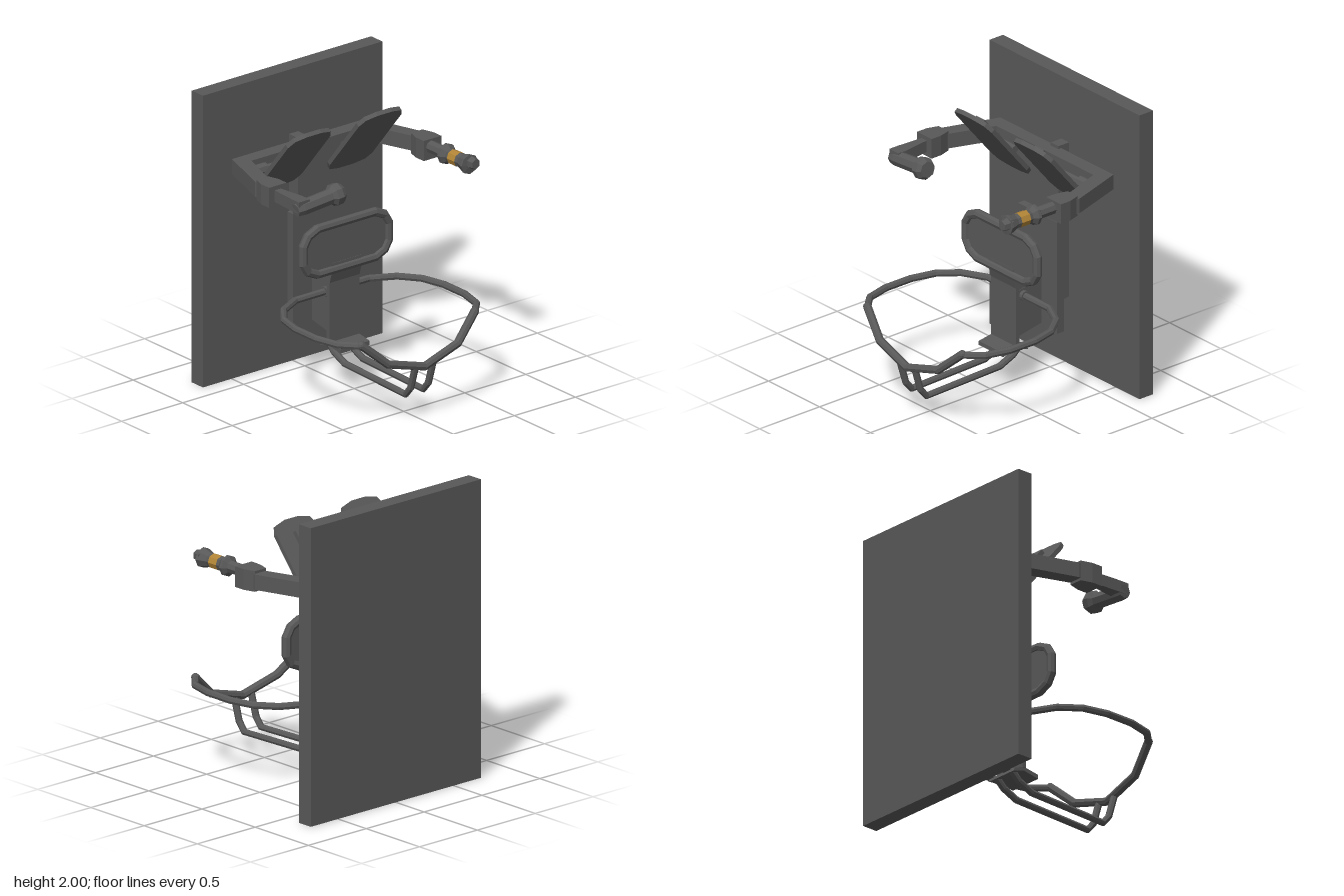
import * as THREE from 'three';

const CX = 0.007; // centre line of the mechanism

// Straight-segment path, sampled exactly at its corner points
class Polyline extends THREE.Curve {
  constructor(points, closed = false) {
    super();
    this.p = points.map(a => new THREE.Vector3(...a));
    if (closed) this.p.push(this.p[0].clone());
    this.closed = closed;
  }
  getPointAt(t) { return this.p[Math.round(t * (this.p.length - 1))].clone(); }
  getTangentAt(t) {
    const p = this.p, n = p.length - 1, i = Math.round(t * n);
    const before = i > 0 ? i - 1 : this.closed ? n - 1 : -1;
    const after = i < n ? i + 1 : this.closed ? 1 : -1;
    const d = new THREE.Vector3();
    if (before >= 0) d.add(p[i].clone().sub(p[before]).normalize());
    if (after >= 0) d.add(p[after].clone().sub(p[i]).normalize());
    return d.normalize();
  }
}

export function createModel() {
  const model = new THREE.Group();
  const grey = new THREE.MeshStandardMaterial({ color: 0x585858, flatShading: true });
  grey.name = 'dark grey';
  const amber = new THREE.MeshStandardMaterial({ color: 0xb08436, flatShading: true });
  amber.name = 'amber';

  const add = (name, geometry, x = 0, y = 0, z = 0, parent = model, material = grey) => {
    const m = new THREE.Mesh(geometry, material);
    m.name = name;
    m.position.set(x, y, z);
    parent.add(m);
    return m;
  };
  const box = (w, h, d) => new THREE.BoxGeometry(w, h, d);
  const extrude = (pts, depth) => new THREE.ExtrudeGeometry(
    new THREE.Shape(pts.map(p => new THREE.Vector2(...p))), { depth, bevelEnabled: false });
  // side profile [z, y], centred across x
  const side = (pts, width) => extrude(pts, width).rotateY(-Math.PI / 2).translate(width / 2, 0, 0);
  // plan outline [x, z], from y0 to y1
  const plan = (pts, y0, y1) => extrude(pts, y1 - y0).rotateX(Math.PI / 2).translate(0, y1, 0);
  const rod = (r, length, sides = 8) => new THREE.CylinderGeometry(r, r, length, sides).rotateZ(Math.PI / 2);
  const tube = (name, pts, r, closed = false) => {
    const path = new Polyline(pts, closed);
    add(name, new THREE.TubeGeometry(path, path.p.length - 1, r, 8, closed));
    if (!closed) for (const p of [pts[0], pts[pts.length - 1]])
      add(name + 'End', new THREE.SphereGeometry(r, 8, 6), ...p);
  };

  // Back board, post and mounting plate
  add('backBoard', box(1.47, 2, 0.113), 0, 1, -0.678);
  add('post', box(0.075, 1.06, 0.09), CX, 1.03, -0.577);
  add('rearWeb', side([[-0.62, 0.475], [-0.44, 0.44], [-0.44, 1.02], [-0.62, 1.05]], 0.074), CX);
  add('mountingPlate', box(0.385, 0.785, 0.055), CX, 0.73, -0.418);

  // Central web with the bent front plate and foot plate
  add('frontWeb', side([[-0.39, 0.36], [-0.11, 0.305], [-0.11, 0.70], [-0.39, 0.78]], 0.074), CX);
  add('frontPlate', side([[-0.135, 0.31], [-0.105, 0.31], [-0.105, 0.72], [-0.085, 0.79],
    [-0.085, 0.86], [-0.11, 0.86], [-0.112, 0.79], [-0.135, 0.72]], 0.245), CX);
  add('footPlate', side([[0, 0.268], [0, 0.296], [-0.12, 0.315], [-0.2, 0.285],
    [-0.21, 0.262], [-0.12, 0.288]], 0.24), CX);

  // Framed back rest
  const quarter = [[0.348, 0.06], [0.312, 0.12], [0.235, 0.155]];
  const flip = (pts, sx, sy) => pts.map(([x, y]) => [x * sx, y * sy]);
  const octagon = q => [...q, ...flip(q, -1, 1).reverse(), ...flip(q, -1, -1), ...flip(q, 1, -1).reverse()];
  const rest = octagon(quarter);
  tube('backRestFrame', rest.map(([x, y]) => [x + CX, y + 0.968, -0.093]), 0.031, true);
  add('backRestPanel', extrude(rest, 0.02), CX, 0.968, -0.108);

  // Waist hoop on its hub
  add('hub', rod(0.05, 0.08, 12), CX, 0.605, -0.235);
  add('hubSleeve', rod(0.034, 0.13, 12), CX, 0.605, -0.235);
  const halfHoop = [[0.3, -0.235], [0.465, -0.15], [0.565, -0.02], [0.607, 0.15],
    [0.607, 0.36], [0.565, 0.53], [0.465, 0.635]];
  tube('waistHoop', [
    ...halfHoop.map(([x, z]) => [CX - x, 0.605, z]).reverse(),
    ...halfHoop.map(([x, z]) => [CX + x, 0.605, z])], 0.024);
  tube('frontBar', [[-0.465, 0.61, 0.635], [-0.285, 0.45, 0.683], [0, 0.37, 0.702],
    [0.285, 0.45, 0.683], [0.465, 0.61, 0.635]].map(([x, y, z]) => [x + CX, y, z]), 0.028);

  // Twin lower rails
  for (const x of [-0.065, 0.08])
    tube('lowerRail', [[x, 0.375, 0.695], [x, 0.225, 0.65], [x, 0.165, 0.6],
      [x, 0.183, -0.01], [x, 0.23, -0.12], [x, 0.28, -0.175]], 0.023);

  // Shoulder yoke
  const yoke = [[0.555, -0.555], [0.685, -0.16], [0.675, -0.12], [0.585, -0.12], [0.585, -0.145], [0.475, -0.455]];
  add('shoulderYoke', plan([...yoke, ...flip(yoke, -1, 1).reverse()], 1.437, 1.54), CX / 2);
  const socket = [[0.705, 0.01], [0.705, -0.07], [0.68, -0.15], [0.585, -0.15], [0.562, -0.07], [0.562, 0.01]];
  for (const s of [-1, 1])
    add('armSocket', plan(flip(socket, s, 1), 1.42, 1.558));

  // Slanted shoulder pads with their brackets
  const padOutline = octagon([[0.175, 0.23], [0.145, 0.29], [0.06, 0.312]]);
  for (const s of [-1, 1]) {
    const pad = new THREE.Group();
    pad.name = s < 0 ? 'rightShoulderPad' : 'leftShoulderPad';
    pad.position.set(CX + s * 0.29, 1.562, -0.263);
    pad.rotation.x = 0.69;
    add('cushion', extrude(padOutline, 0.03), 0, 0, -0.015, pad);
    add('padBracket', box(0.084, 0.4, 0.03), 0, 0.015, -0.03, pad);
    model.add(pad);
    add('padRod', rod(0.026, 0.3), CX + s * 0.37, 1.49, -0.393);
    add('padCollar', rod(0.043, 0.1), CX + s * 0.465, 1.49, -0.393);
  }

  // Straight grip on the left arm, pointing forward
  const lathe = (pts, sides = 7) =>
    new THREE.LatheGeometry(pts.map(p => new THREE.Vector2(...p)), sides).rotateX(Math.PI / 2);
  const leftGrip = new THREE.Group();
  leftGrip.name = 'leftGrip';
  leftGrip.position.set(0.622, 1.505, 0);
  model.add(leftGrip);
  add('gripShaft', lathe([[0, 0], [0.042, 0], [0.042, 0.135], [0.07, 0.155], [0.07, 0.175],
    [0.046, 0.205], [0.05, 0.228]], 8), 0, 0, 0, leftGrip);
  add('gripBand', lathe([[0.05, 0.228], [0.05, 0.302]], 8), 0, 0, 0, leftGrip, amber);
  add('gripNeck', lathe([[0.05, 0.302], [0.046, 0.325], [0.066, 0.385], [0.068, 0.4], [0, 0.41]], 8), 0, 0, 0, leftGrip);
  add('gripTip', lathe([[0, 0.38], [0.05, 0.38], [0.034, 0.445], [0, 0.445]], 6), 0.014, 0.01, 0, leftGrip);

  // Turned-in grip on the right arm
  add('gripLink', plan([[-0.66, 0], [-0.612, 0], [-0.583, 0.2], [-0.583, 0.27], [-0.672, 0.27], [-0.672, 0.2]],
    1.45, 1.53));
  const rightGrip = new THREE.Group();
  rightGrip.name = 'rightGrip';
  rightGrip.position.set(-0.672, 1.465, 0.235);
  rightGrip.rotation.set(0, Math.PI / 2 - 0.06, 0);
  model.add(rightGrip);
  const handle = add('gripHandle', lathe([[0, 0], [0.044, 0], [0.052, 0.05], [0.053, 0.27], [0.075, 0.295],
    [0.075, 0.335], [0.055, 0.365], [0, 0.365]], 8), 0, 0, 0, rightGrip);
  handle.rotation.x = -0.12;

  return model;
}
